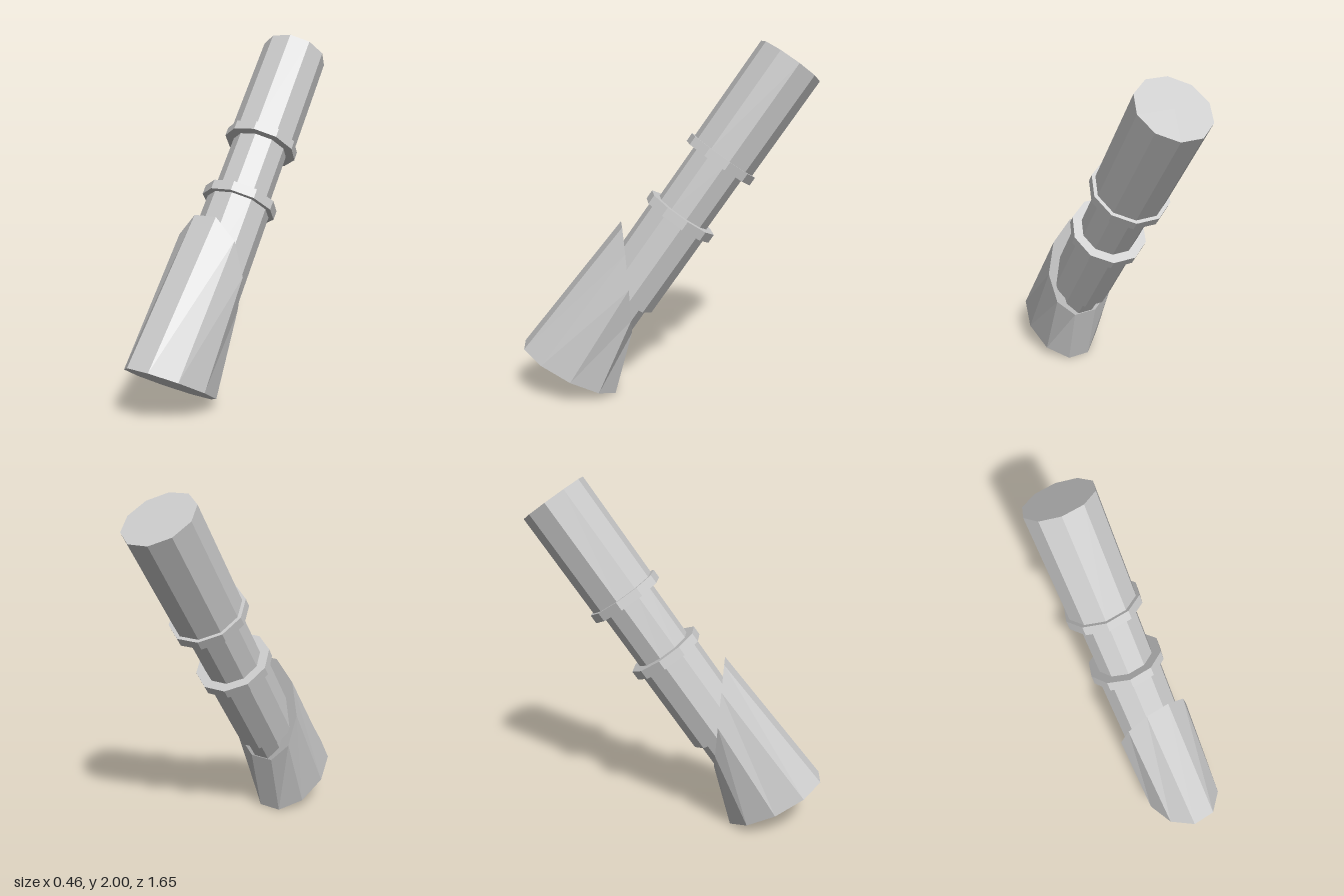
import * as THREE from 'three';

const SIDES = 10;
const TURN = Math.PI / SIDES; // puts a flat facet at the front

const material = new THREE.MeshStandardMaterial({ color: 0xcccccc, flatShading: true });

function addPart(parent, name, geometry) {
  const mesh = new THREE.Mesh(geometry, material);
  mesh.name = name;
  parent.add(mesh);
}

// Base with a tilted oval foot, lofted up to an upright oval cut behind
function baseGeometry() {
  const g = new THREE.CylinderGeometry(1, 1, 2, SIDES, 1, false, TURN);
  const p = g.attributes.position;
  for (let i = 0; i < p.count; i++) {
    const x = p.getX(i), z = p.getZ(i);
    if (p.getY(i) > 0) p.setXYZ(i, 0.228 * x, 0.69 + 0.328 * z, 0.236 + 0.025 * z);
    else p.setXYZ(i, 0.22 * x, 0.153 + 0.156 * z, 0.569 + 0.27 * z);
  }
  g.computeVertexNormals();
  return g;
}

export function createModel() {
  const model = new THREE.Group();
  model.name = 'model';

  // Leaning tube: [name, radius, start, end], measured down from its top end
  const tube = new THREE.Group();
  tube.name = 'tube';
  tube.position.set(0, 1.895, -0.67);
  tube.rotation.x = -0.611;
  const sections = [
    ['upperTube', 0.195, 0, 0.63],
    ['upperCollar', 0.215, 0.626, 0.678],
    ['middleTube', 0.162, 0.67, 1.03],
    ['lowerCollar', 0.215, 1.018, 1.073],
    ['lowerTube', 0.184, 1.07, 1.593],
    ['tubePlug', 0.152, 1.59, 1.85],
  ];
  for (const [name, radius, start, end] of sections) {
    const g = new THREE.CylinderGeometry(radius, radius, end - start, SIDES, 1, false, TURN);
    g.translate(0, -(start + end) / 2, 0);
    addPart(tube, name, g);
  }
  model.add(tube);

  addPart(model, 'base', baseGeometry());
  return model;
}
